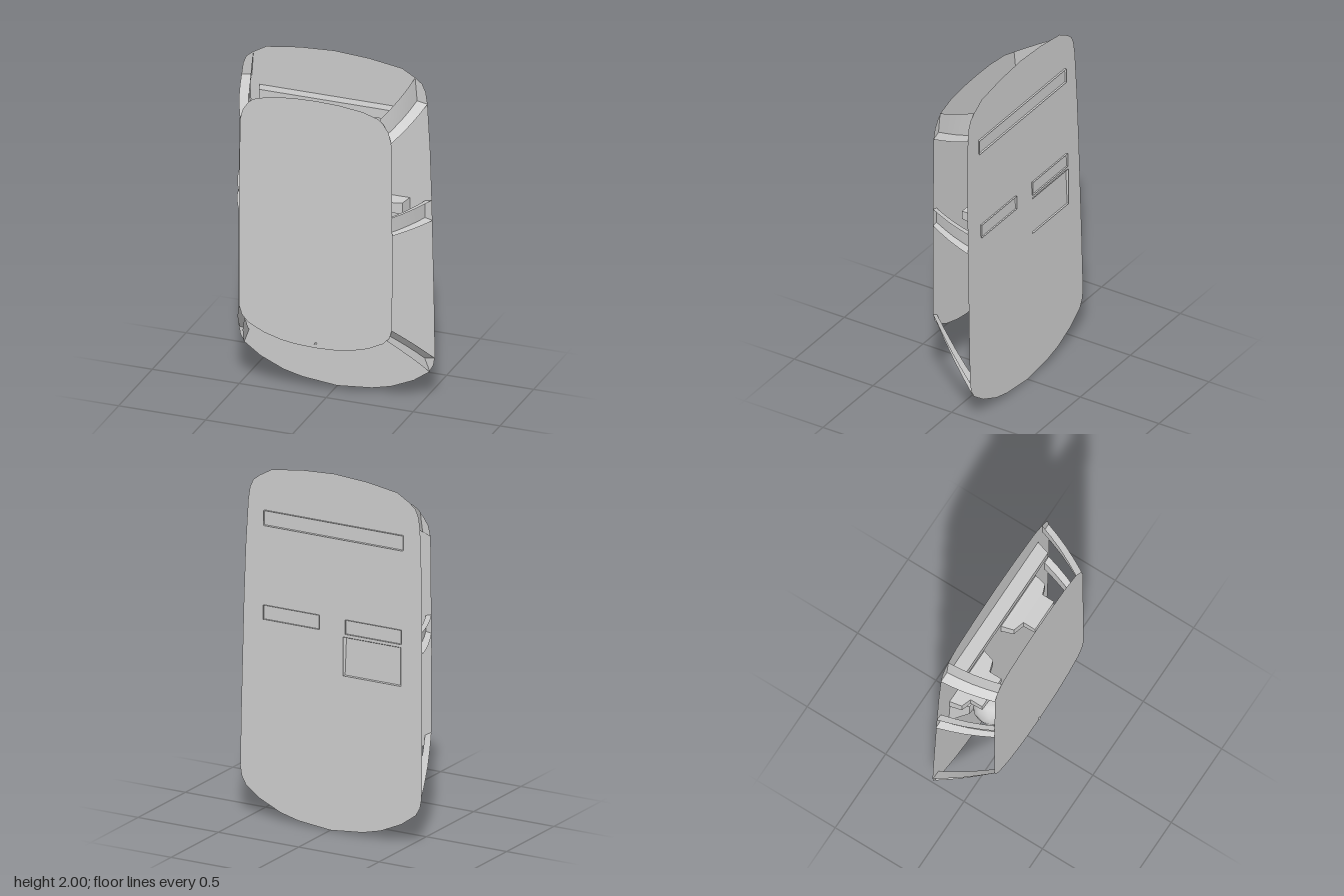
import * as THREE from 'three';
import { toCreasedNormals } from 'three/addons/utils/BufferGeometryUtils.js';

const material = new THREE.MeshStandardMaterial({ color: 0xcccccc, side: THREE.DoubleSide });

// The floor sheet rises slightly toward the rear (high y)
const floorZ = (y) => -0.165 + 0.0225 * y;
const ROOF_Z = 0.156;

function addMesh(parent, name, geometry) {
  const mesh = new THREE.Mesh(geometry, material);
  mesh.name = name;
  parent.add(mesh);
  return mesh;
}

// Skins rows of points; optionally closed around, with a fan to an apex
function loft(rows, closed = false, apex = null) {
  const n = rows[0].length;
  const index = [];
  for (let r = 0; r < rows.length - 1; r++) {
    for (let i = 0; i < (closed ? n : n - 1); i++) {
      const a = r * n + i, b = r * n + (i + 1) % n;
      index.push(a, b, b + n, a, b + n, a + n);
    }
  }
  const points = rows.flat();
  if (apex) {
    const base = (rows.length - 1) * n;
    for (let i = 0; i < n; i++) index.push(base + i, base + (i + 1) % n, points.length);
    points.push(apex);
  }
  const geometry = new THREE.BufferGeometry();
  geometry.setAttribute('position', new THREE.Float32BufferAttribute(points.flat(), 3));
  geometry.setIndex(index);
  return toCreasedNormals(geometry, 0.6);
}

// Flat sheet from half an outline, mirrored across x = 0
function sheet(half, zAt) {
  const mirrored = half.slice(1, -1).reverse().map(([x, y]) => [-x, y]);
  const shape = new THREE.Shape([...half, ...mirrored].map(([x, y]) => new THREE.Vector2(x, y)));
  const geometry = new THREE.ShapeGeometry(shape);
  const p = geometry.attributes.position;
  for (let i = 0; i < p.count; i++) p.setZ(i, zAt(p.getY(i)));
  geometry.computeVertexNormals();
  return geometry;
}

// Channel-shaped pillar from roof section to floor section, bowed outward
function pillar(top, bottom, side) {
  const rows = [];
  for (let s = 0; s <= 4; s++) {
    const t = s / 4, bow = 0.01 * Math.sin(Math.PI * t);
    rows.push(top.map(([x, y], i) => {
      const [bx, by] = bottom[i];
      return [side * (x + (bx - x) * t + bow), y + (by - y) * t, ROOF_Z + (floorZ(by) - ROOF_Z) * t];
    }));
  }
  return loft(rows);
}

// Open-bottomed upholstery block; rows are [z, centre x, half width, y0, y1]
function block(rows, peak) {
  const rings = rows.map(([z, cx, w, y0, y1]) =>
    [[cx - w, y0, z], [cx + w, y0, z], [cx + w, y1, z], [cx - w, y1, z]]);
  const [z, cx, , y0, y1] = rows[rows.length - 1];
  return loft(rings, true, [cx, (y0 + y1) / 2, z + peak]);
}

export function createModel() {
  const model = new THREE.Group();
  model.name = 'carCabin';

  // Roof and floor sheets
  addMesh(model, 'floor', sheet([
    [0, 0], [0.2, 0.02], [0.31, 0.047], [0.44, 0.105], [0.53, 0.17], [0.555, 0.215], [0.565, 0.27],
    [0.563, 0.6], [0.555, 1.2], [0.548, 1.5], [0.535, 1.77], [0.525, 1.84], [0.505, 1.885],
    [0.465, 1.917], [0.39, 1.96], [0.2, 1.988], [0, 2],
  ], floorZ));
  addMesh(model, 'roof', sheet([
    [0, 0.36], [0.12, 0.365], [0.2, 0.377], [0.3, 0.405], [0.39, 0.45], [0.425, 0.49], [0.44, 0.54],
    [0.442, 1.0], [0.435, 1.64], [0.42, 1.7], [0.39, 1.745], [0.36, 1.772], [0.27, 1.8],
    [0.13, 1.816], [0, 1.82],
  ], () => ROOF_Z));

  // Three pillars on each side
  const pillars = {
    frontPillar: [[[0.44, 0.535], [0.4, 0.513], [0.407, 0.47]],
      [[0.56, 0.26], [0.505, 0.25], [0.535, 0.17]]],
    middlePillar: [[[0.44, 1.2], [0.405, 1.19], [0.405, 1.1], [0.44, 1.095]],
      [[0.555, 1.2], [0.515, 1.19], [0.515, 1.09], [0.56, 1.08]]],
    rearPillar: [[[0.435, 1.64], [0.385, 1.66], [0.37, 1.77]],
      [[0.535, 1.77], [0.475, 1.78], [0.465, 1.915]]],
  };
  for (const [name, [top, bottom]] of Object.entries(pillars)) {
    for (const side of [1, -1]) {
      addMesh(model, (side > 0 ? 'left_' : 'right_') + name, pillar(top, bottom, side));
    }
  }

  // Rear bench and front seats with headrests
  addMesh(model, 'rearBench', block([
    [-0.136, 0, 0.435, 1.64, 1.725], [-0.046, 0, 0.405, 1.68, 1.735],
  ], 0));
  for (const side of [1, -1]) {
    addMesh(model, side > 0 ? 'leftSeat' : 'rightSeat', block([
      [-0.148, side * 0.255, 0.175, 1.115, 1.195],
      [-0.07, side * 0.258, 0.155, 1.125, 1.19],
      [-0.05, side * 0.262, 0.095, 1.13, 1.19],
      [0.024, side * 0.262, 0.095, 1.14, 1.19],
    ], 0.011));
  }

  // Simple driver: torso and faceted round head
  const driver = new THREE.Group();
  driver.name = 'driver';
  model.add(driver);
  addMesh(driver, 'torso', block([
    [-0.152, -0.252, 0.18, 0.88, 1.1], [-0.06, -0.265, 0.085, 0.94, 1.05],
  ], 0.02));
  const head = addMesh(driver, 'head', new THREE.IcosahedronGeometry(1, 1));
  head.scale.set(0.098, 0.115, 0.108);
  head.position.set(-0.265, 0.972, 0.026);

  // Rear-view mirror on a slanted stalk
  const mirror = addMesh(model, 'mirrorGlass', new THREE.PlaneGeometry(0.18, 0.05));
  mirror.rotation.x = Math.PI / 2;
  mirror.position.set(0, 0.43, 0.075);
  const stalkPath = new THREE.LineCurve3(
    new THREE.Vector3(0, 0.383, 0.16), new THREE.Vector3(0, 0.43, 0.1));
  addMesh(model, 'mirrorStalk', new THREE.TubeGeometry(stalkPath, 1, 0.007, 6));

  return model;
}
